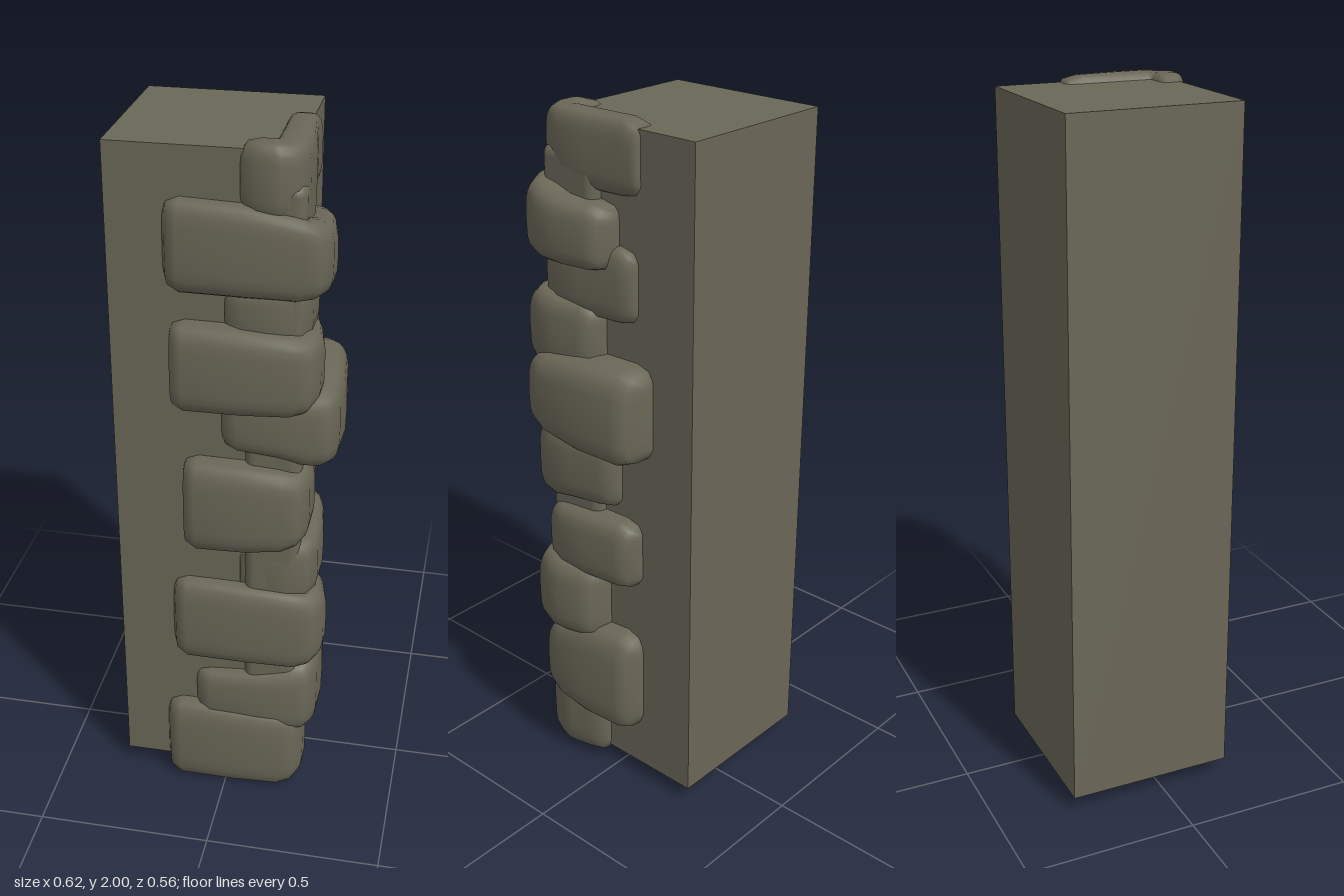
import * as THREE from 'three';
import { RoundedBoxGeometry } from 'three/addons/geometries/RoundedBoxGeometry.js';

const stoneMaterial = new THREE.MeshStandardMaterial({ color: 0x6a6757 });
stoneMaterial.name = 'grey brown stone';

// Each quoin: front reach x0, outer face x1, side reach z0, outer face z1,
// and the height range of its front arm and of its side arm.
const QUOINS = [
  { x0: -0.18, x1: 0.23, z0: 0.03, z1: 0.26, front: [0.0, 0.28], side: [0.02, 0.28] },
  { x0: -0.09, x1: 0.265, z0: -0.105, z1: 0.245, front: [0.24, 0.4], side: [0.18, 0.51] },
  { x0: -0.155, x1: 0.28, z0: 0.02, z1: 0.255, front: [0.45, 0.72], side: [0.46, 0.7] },
  { x0: 0.04, x1: 0.255, z0: -0.105, z1: 0.225, front: [0.67, 0.85], side: [0.67, 0.88] },
  { x0: -0.12, x1: 0.235, z0: -0.03, z1: 0.28, front: [0.84, 1.12], side: [0.9, 1.1] },
  { x0: -0.01, x1: 0.305, z0: -0.145, z1: 0.24, front: [1.15, 1.32], side: [1.08, 1.36] },
  { x0: -0.15, x1: 0.255, z0: 0.02, z1: 0.278, front: [1.27, 1.52], side: [1.3, 1.5] },
  { x0: 0.0, x1: 0.225, z0: -0.095, z1: 0.235, front: [1.47, 1.62], side: [1.46, 1.67] },
  { x0: -0.16, x1: 0.275, z0: -0.03, z1: 0.255, front: [1.6, 1.85], side: [1.6, 1.78] },
  { x0: 0.04, x1: 0.21, z0: -0.105, z1: 0.237, front: [1.81, 2.0], side: [1.8, 2.0] },
];

// Sweeps a rounded-square section around the pillar corner
function quoinGeometry({ x0, x1, z0, z1, front, side }) {
  const IN_X = 0.11, IN_Z = 0.14, RING = 24;
  const xm = (x0 + x1) / 2, zm = (z0 + z1) / 2;
  // stations: outer x, outer z, height scale, blend from front arm to side arm
  const stations = [
    [x0, 0.17, 0, 0],
    [x0, 0.205, 0.72, 0],
    [x0 + 0.012, z1 - 0.022, 0.9, 0],
    [x0 + 0.045, z1 - 0.004, 1, 0],
    [xm, z1, 1, 0.1],
    [x1 - 0.065, z1 - 0.002, 1, 0.35],
    [x1 - 0.022, z1 - 0.022, 0.98, 0.5],
    [x1 - 0.002, z1 - 0.075, 1, 0.65],
    [x1, zm, 1, 0.9],
    [x1 - 0.015, z0 + 0.055, 1, 1],
    [0.175 + (x1 - 0.175) * 0.7, z0 + 0.015, 0.9, 1],
    [0.185, z0, 0.72, 1],
    [0.15, z0, 0, 1],
  ];
  const positions = [], index = [];
  const round = (v) => Math.sign(v) * Math.abs(v) ** 0.55;
  stations.forEach(([ox, oz, h, w], i) => {
    const ix = Math.min(ox, IN_X), iz = Math.min(oz, IN_Z);
    const y0 = THREE.MathUtils.lerp(front[0], side[0], w);
    const y1 = THREE.MathUtils.lerp(front[1], side[1], w);
    for (let j = 0; j < RING; j++) {
      const t = (j / RING) * Math.PI * 2;
      const k = h === 0 ? 0.5 : 0.5 + 0.5 * round(Math.cos(t));
      positions.push(
        ix + (ox - ix) * k,
        (y0 + y1) / 2 + ((y1 - y0) / 2) * h * round(Math.sin(t)),
        iz + (oz - iz) * k
      );
      if (i < stations.length - 1) {
        const n = (j + 1) % RING;
        const a = i * RING + j, b = a + RING, c = i * RING + n, d = c + RING;
        index.push(a, b, c, b, d, c);
      }
    }
  });
  const geometry = new THREE.BufferGeometry();
  geometry.setAttribute('position', new THREE.Float32BufferAttribute(positions, 3));
  geometry.setIndex(index);
  geometry.computeVertexNormals();
  return geometry;
}

export function createModel() {
  const model = new THREE.Group();
  model.name = 'stonePillar';

  const add = (name, geometry, x = 0, y = 0, z = 0) => {
    const mesh = new THREE.Mesh(geometry, stoneMaterial);
    mesh.name = name;
    mesh.position.set(x, y, z);
    model.add(mesh);
  };

  // Square shaft
  add('shaft', new THREE.BoxGeometry(0.485, 1.93, 0.483), -0.0675, 1.015, -0.0405);

  // Mortar core filling the gaps between the corner stones
  add('cornerCore', new RoundedBoxGeometry(0.155, 1.8, 0.19, 3, 0.03), 0.13, 1.0, 0.128);

  // Rough stones wrapping the corner
  QUOINS.forEach((q, i) => add(`cornerStone${i + 1}`, quoinGeometry(q)));

  return model;
}
